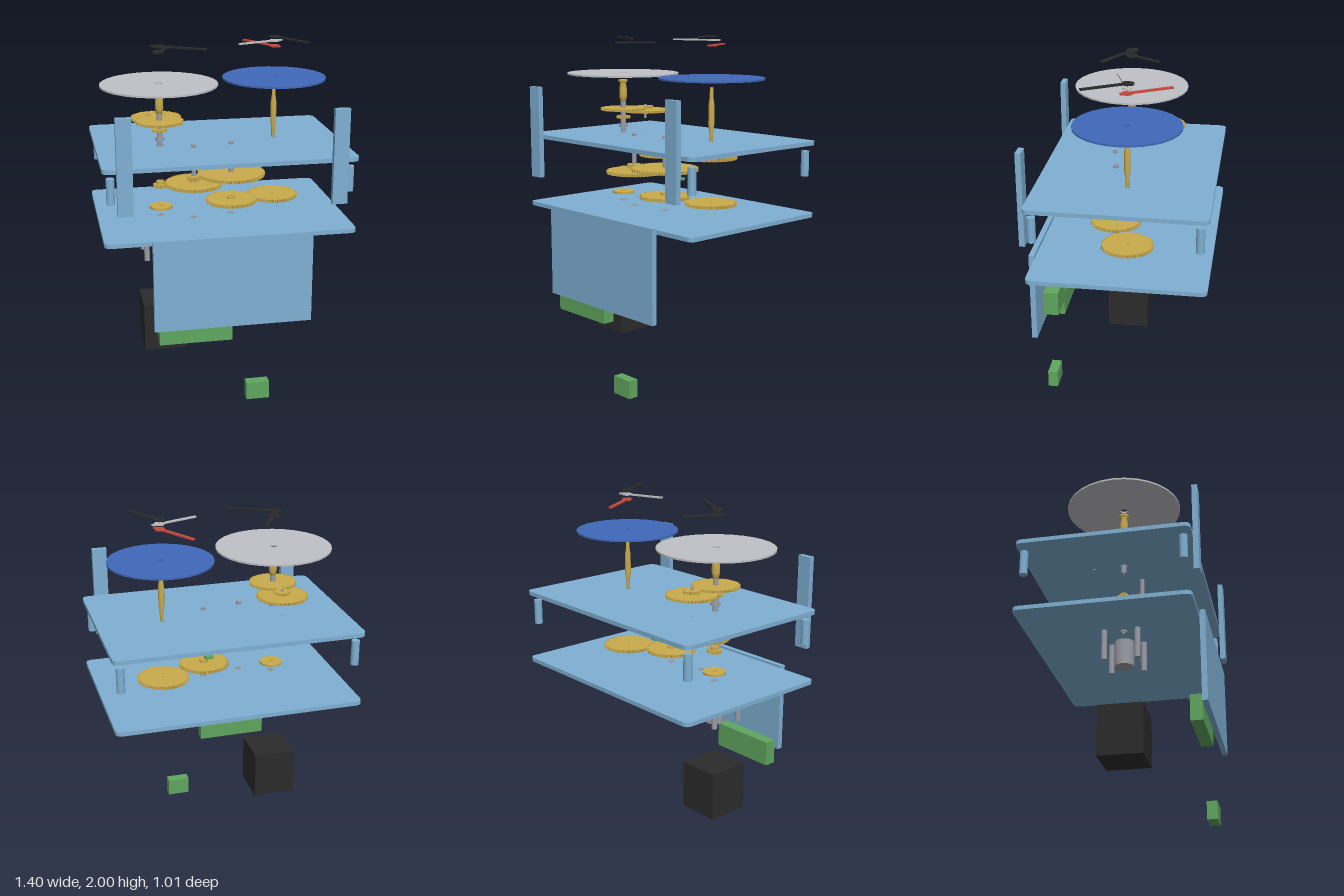
import * as THREE from 'three';

const mat = (name, color, double) => {
  const m = new THREE.MeshStandardMaterial({ color });
  m.name = name;
  return m;
};

export function createModel() {
  const plateBlue = mat('plateBlue', 0x7fb0d3);
  const brass = mat('brass', 0xcaab4c);
  const steel = mat('steel', 0x9b9ca5);
  const silver = mat('silver', 0xc0c1c6);
  const dialBlue = mat('dialBlue', 0x4069b9);
  const black = mat('black', 0x2b2b2b);
  const red = mat('red', 0xcc4a3d);
  const green = mat('green', 0x5fa65f);

  const root = new THREE.Group();
  const add = (name, geo, material, x = 0, y = 0, z = 0, parent = root) => {
    const m = new THREE.Mesh(geo, material);
    m.name = name;
    m.position.set(x, y, z);
    parent.add(m);
    return m;
  };
  // box given by its limits on each axis
  const box = (name, material, [x0, x1], [y0, y1], [z0, z1]) =>
    add(name, new THREE.BoxGeometry(x1 - x0, y1 - y0, z1 - z0), material,
      (x0 + x1) / 2, (y0 + y1) / 2, (z0 + z1) / 2);
  const rod = (name, material, r, y0, y1, x, z) =>
    add(name, new THREE.CylinderGeometry(r, r, y1 - y0, 24), material, x, (y0 + y1) / 2, z);
  // horizontal slab extruded upward from a shape
  const slab = (shape, h, seg = 16) =>
    new THREE.ExtrudeGeometry(shape, { depth: h, bevelEnabled: false, curveSegments: seg }).rotateX(-Math.PI / 2);
  const circleHole = (x, z, r) => new THREE.Path().absarc(x, -z, r, 0, Math.PI * 2, true);
  const ringGeo = (r, hole, h, seg = 30) => {
    const s = new THREE.Shape().absarc(0, 0, r, 0, Math.PI * 2, false);
    s.holes.push(circleHole(0, 0, hole));
    return slab(s, h, seg);
  };
  const ring = (name, material, r, hole, y0, y1, x, z, seg = 30) =>
    add(name, ringGeo(r, hole, y1 - y0, seg), material, x, y0, z);
  const gear = (name, r, hole, y0, y1, x, z) => {
    const n = Math.max(14, Math.round(r * 420));
    const root = r - Math.min(0.011, r * 0.16);
    const pts = [];
    for (let i = 0; i < n; i++) {
      [[0, root], [0.4, root], [0.55, r], [0.85, r]].forEach(([f, rad]) => {
        const a = ((i + f) / n) * Math.PI * 2;
        pts.push(new THREE.Vector2(Math.cos(a) * rad, Math.sin(a) * rad));
      });
    }
    const s = new THREE.Shape(pts);
    s.holes.push(circleHole(0, 0, hole));
    return add(name, slab(s, y1 - y0, 8), brass, x, y0, z);
  };

  // axes of the movement: [x, z]
  const clock = [-0.338, 0.036];
  const idler = [-0.336, -0.137];
  const shaftA = [-0.157, 0.108];
  const shaftB = [0.065, 0.07];
  const small = [0.333, -0.034];

  // movement plates
  const plateShape = (holes) => {
    const x = 0.7, a = -0.47, b = 0.505, r = 0.04;
    const s = new THREE.Shape();
    s.moveTo(-x + r, a);
    s.lineTo(x - r, a); s.quadraticCurveTo(x, a, x, a + r);
    s.lineTo(x, b - r); s.quadraticCurveTo(x, b, x - r, b);
    s.lineTo(-x + r, b); s.quadraticCurveTo(-x, b, -x, b - r);
    s.lineTo(-x, a + r); s.quadraticCurveTo(-x, a, -x + r, a);
    holes.forEach(([[hx, hz], hr]) => s.holes.push(circleHole(hx, hz, hr)));
    return s;
  };
  add('lowerPlate', slab(plateShape([[clock, 0.014], [shaftA, 0.014], [shaftB, 0.014]]), 0.024), plateBlue, 0, 0.978, 0);
  add('upperPlate', slab(plateShape([[clock, 0.02], [idler, 0.007], [shaftA, 0.014], [shaftB, 0.014], [small, 0.014]]), 0.024),
    plateBlue, 0, 1.39, 0);
  for (const [x, z] of [clock, shaftA, shaftB]) ring('lowerBushing', steel, 0.02, 0.01, 0.966, 1.005, x, z, 12);

  // front panel, uprights and spacer pillars
  box('frontPanel', plateBlue, [-0.445, 0.44], [0.485, 1.013], [0.474, 0.505]);
  box('rightUpright', plateBlue, [-0.627, -0.543], [1.165, 1.695], [0.474, 0.505]);
  box('leftUpright', plateBlue, [0.54, 0.624], [1.165, 1.695], [0.474, 0.505]);
  for (const x of [-0.656, 0.656]) for (const z of [0.427, -0.459]) rod('spacerPillar', plateBlue, 0.023, 1.214, 1.357, x, z);

  // motor with four standoffs, battery block and circuit blocks
  rod('motor', steel, 0.055, 0.757, 0.905, -0.34, 0.04);
  for (const dx of [-0.096, 0.096]) for (const dz of [-0.092, 0.092])
    rod('motorStandoff', steel, 0.016, 0.765, 0.94, -0.34 + dx, 0.04 + dz);
  box('powerBlock', black, [-0.463, -0.215], [0.213, 0.495], [-0.083, 0.166]);
  box('longCircuitBlock', green, [-0.415, -0.005], [0.388, 0.535], [0.405, 0.474]);
  box('tallCircuitBlock', green, [0.057, 0.257], [0.535, 0.68], [0.387, 0.474]);
  box('smallCircuitBlock', green, [0.08, 0.212], [0, 0.103], [0.415, 0.474]);
  box('sensorChip', green, [0.043, 0.09], [1.164, 1.178], [-0.068, -0.034]);

  // lower gear train
  ring('motorWheel', brass, 0.065, 0.012, 1.048, 1.06, ...clock);
  gear('lowerDriveGear', 0.145, 0.012, 1.072, 1.09, ...shaftB);
  ring('lowerDriveHub', brass, 0.024, 0.012, 1.09, 1.104, ...shaftB, 12);
  gear('lowerSideGear', 0.147, 0.008, 1.057, 1.074, ...small);

  // middle gear train
  gear('motorPinion', 0.042, 0.01, 1.17, 1.19, ...clock);
  ring('motorPinionHub', brass, 0.024, 0.01, 1.19, 1.207, ...clock, 12);
  gear('firstGear', 0.163, 0.012, 1.196, 1.214, ...shaftA);
  gear('firstPinion', 0.042, 0.012, 1.228, 1.25, ...shaftA);
  ring('firstHub', brass, 0.024, 0.012, 1.214, 1.228, ...shaftA, 12);
  gear('secondGear', 0.193, 0.012, 1.232, 1.25, ...shaftB);
  gear('upperDriveGear', 0.145, 0.012, 1.32, 1.34, ...shaftB);
  ring('upperDriveHub', brass, 0.024, 0.012, 1.34, 1.352, ...shaftB, 12);
  gear('upperSideGear', 0.147, 0.008, 1.32, 1.34, ...small);
  for (const [x, z] of [shaftA, shaftB]) ring('gearShaft', steel, 0.0135, 0.005, 1.235, 1.43, x, z, 12);

  // motion work above the upper plate
  ring('clockTube', steel, 0.016, 0.007, 1.34, 1.61, ...clock, 12);
  ring('clockCollar', steel, 0.027, 0.012, 1.448, 1.462, ...clock, 12);
  gear('clockPinion', 0.042, 0.012, 1.498, 1.513, ...clock);
  gear('hourGear', 0.135, 0.012, 1.548, 1.562, ...clock);
  gear('idlerGear', 0.145, 0.007, 1.527, 1.541, ...idler);
  gear('idlerPinion', 0.05, 0.007, 1.548, 1.562, ...idler);
  rod('idlerArbor', steel, 0.008, 1.487, 1.572, ...idler);

  // turned brass sleeves carrying the dials
  const sleeve = (name, pts, x, z) =>
    add(name, new THREE.LatheGeometry(pts.map(([r, y]) => new THREE.Vector2(r, y)), 24), brass, x, 0, z);
  sleeve('clockSleeve', [[0.008, 1.6], [0.017, 1.6], [0.023, 1.63], [0.023, 1.67], [0.017, 1.71], [0.026, 1.714],
    [0.026, 1.728], [0.008, 1.728], [0.008, 1.6]], ...clock);
  sleeve('smallDialSleeve', [[0.004, 1.418], [0.01, 1.418], [0.011, 1.47], [0.017, 1.51], [0.017, 1.62], [0.011, 1.66],
    [0.009, 1.717], [0.004, 1.717], [0.004, 1.418]], ...small);

  // dials
  ring('clockDial', silver, 0.329, 0.02, 1.76, 1.77, ...clock, 15);
  ring('smallDial', dialBlue, 0.295, 0.016, 1.76, 1.77, ...small, 15);

  // hands: a ring on the axis, a pointer toward the tip, and a short tail
  const hand = (name, material, [cx, cz], [tx, tz], y, w, tail, r, hole) => {
    const g = new THREE.Group();
    g.name = name;
    g.position.set(cx, y, cz);
    g.rotation.y = Math.atan2(cz - tz, tx - cx);
    root.add(g);
    const h = 0.009, len = Math.hypot(tx - cx, tz - cz), s = r * 0.85;
    add(name + 'Ring', ringGeo(r, hole, h, 12), material, 0, 0, 0, g);
    add(name + 'Pointer', new THREE.BoxGeometry(len - s, h, w), material, (len + s) / 2, h / 2, 0, g);
    add(name + 'Tail', new THREE.BoxGeometry(tail - s, h, w), material, -(tail + s) / 2, h / 2, 0, g);
  };
  hand('hourHand', black, clock, [-0.242, -0.13], 1.94, 0.02, 0.046, 0.034, 0.016);
  hand('minuteHand', black, clock, [-0.093, 0.174], 1.97, 0.02, 0.046, 0.034, 0.016);
  hand('redHand', red, small, [0.204, -0.258], 1.94, 0.02, 0.04, 0.028, 0.01);
  hand('silverHand', silver, small, [0.112, 0.045], 1.97, 0.015, 0.047, 0.028, 0.01);
  hand('blackHand', black, small, [0.463, 0.19], 1.992, 0.02, 0.036, 0.03, 0.01);

  return root;
}
